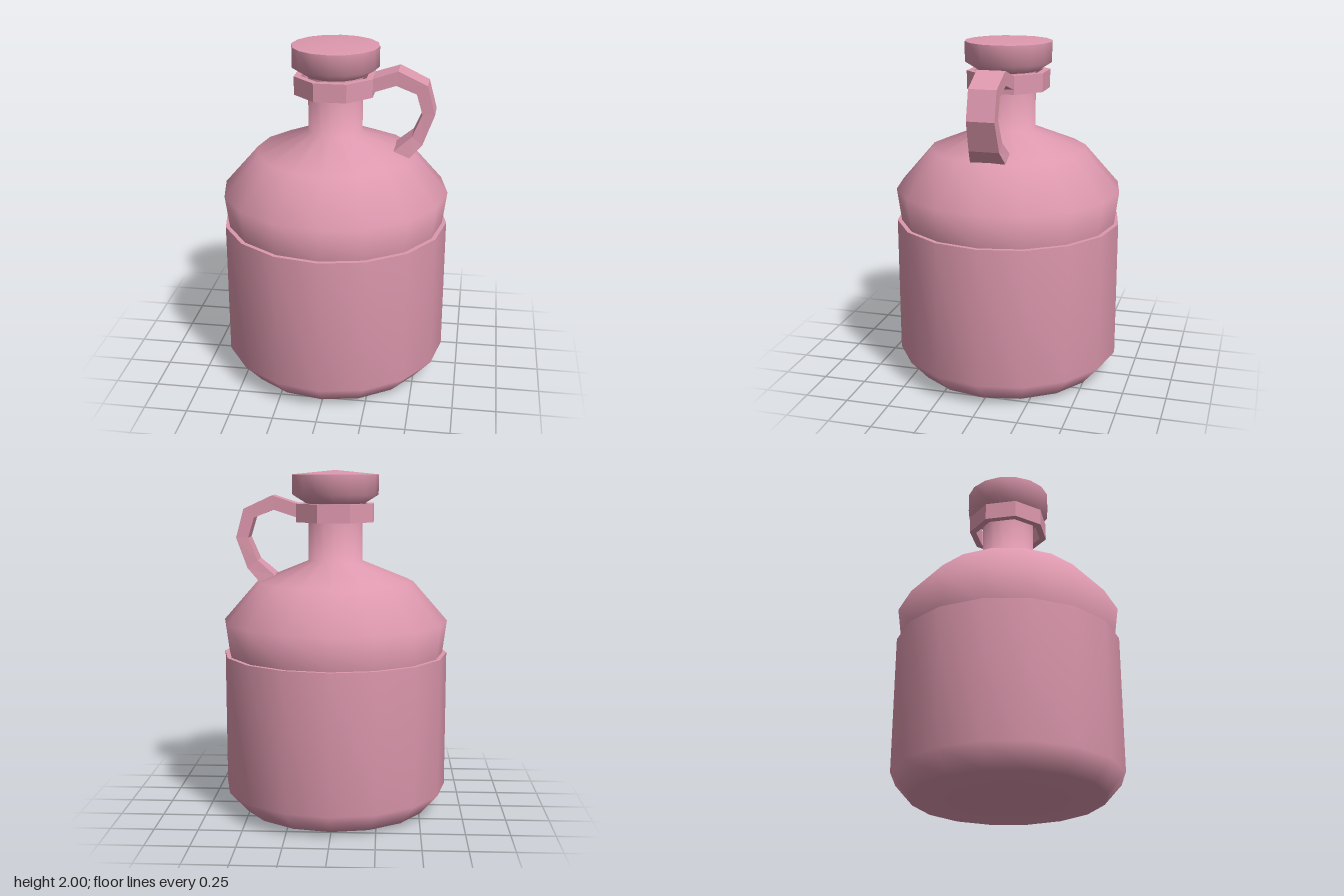
import * as THREE from 'three';
import { mergeVertices } from 'three/addons/utils/BufferGeometryUtils.js';

const pink = new THREE.MeshStandardMaterial({ color: 0xdd98ae });
pink.name = 'dusty pink';

// Revolve a profile (listed bottom to top) with smooth, area-weighted normals
function smoothLathe(profile, sides = 16) {
  let geo = new THREE.LatheGeometry(profile.map(([r, y]) => new THREE.Vector2(r, y)), sides);
  geo.deleteAttribute('uv');
  geo.deleteAttribute('normal');
  geo = mergeVertices(geo, 1e-4);
  geo.computeVertexNormals();
  return geo;
}

// Revolve a profile with hard edges
function facetedLathe(profile, sides, start) {
  const geo = new THREE.LatheGeometry(
    profile.map(([r, y]) => new THREE.Vector2(r, y)), sides, start).toNonIndexed();
  geo.computeVertexNormals();
  return geo;
}

// Faceted strap; each station is [outer x, outer y, inner x, inner y, half width]
function strapGeometry(stations) {
  const rings = stations.map(([ox, oy, ix, iy, w]) => [
    [ox, oy, w], [ox, oy, -w], [ix, iy, -w], [ix, iy, w],
  ]);
  const pos = [];
  const quad = (a, b, c, d) => pos.push(...a, ...b, ...c, ...a, ...c, ...d);
  for (let i = 0; i < rings.length - 1; i++) {
    const p = rings[i], q = rings[i + 1];
    for (let k = 0; k < 4; k++) {
      const n = (k + 1) % 4;
      quad(p[k], q[k], q[n], p[n]);
    }
  }
  const first = rings[0], last = rings[rings.length - 1];
  quad(first[0], first[1], first[2], first[3]);
  quad(last[3], last[2], last[1], last[0]);
  const geo = new THREE.BufferGeometry();
  geo.setAttribute('position', new THREE.Float32BufferAttribute(pos, 3));
  geo.computeVertexNormals();
  return geo;
}

export function createModel() {
  const jug = new THREE.Group();
  jug.name = 'jug';
  const add = (name, geo) => {
    const mesh = new THREE.Mesh(geo, pink);
    mesh.name = name;
    jug.add(mesh);
  };

  // Lower body with chamfered base and a narrow ledge on top
  add('body', smoothLathe([[0, 0], [0.55, 0.02], [0.655, 0.14], [0.655, 0.94]]));
  add('ledge', smoothLathe([[0.655, 0.94], [0.6, 0.94]]));

  // Domed shoulder running up into the neck
  add('shoulderAndNeck', smoothLathe([
    [0.63, 0.94], [0.655, 1.13], [0.455, 1.36], [0.157, 1.48], [0.157, 1.82],
  ]));

  // Eight-sided collar ring around the neck
  add('collar', facetedLathe([
    [0.24, 1.705], [0.24, 1.81], [0.2, 1.81], [0.2, 1.705], [0.24, 1.705],
  ], 8, Math.PI / 8));

  // Stopper with a slightly raised lid
  add('stopper', smoothLathe([[0, 1.81], [0.17, 1.81], [0.25, 1.86], [0.25, 1.975]]));
  add('stopperTop', smoothLathe([[0.25, 1.975], [0, 2]]));

  // Curved strap handle from collar to shoulder
  add('handle', strapGeometry([
    [0.21, 1.807, 0.205, 1.728, 0.088],
    [0.36, 1.857, 0.35, 1.775, 0.08],
    [0.525, 1.78, 0.465, 1.73, 0.078],
    [0.57, 1.615, 0.5, 1.615, 0.078],
    [0.505, 1.44, 0.445, 1.485, 0.085],
    [0.435, 1.362, 0.345, 1.4, 0.1],
  ]));
  return jug;
}
